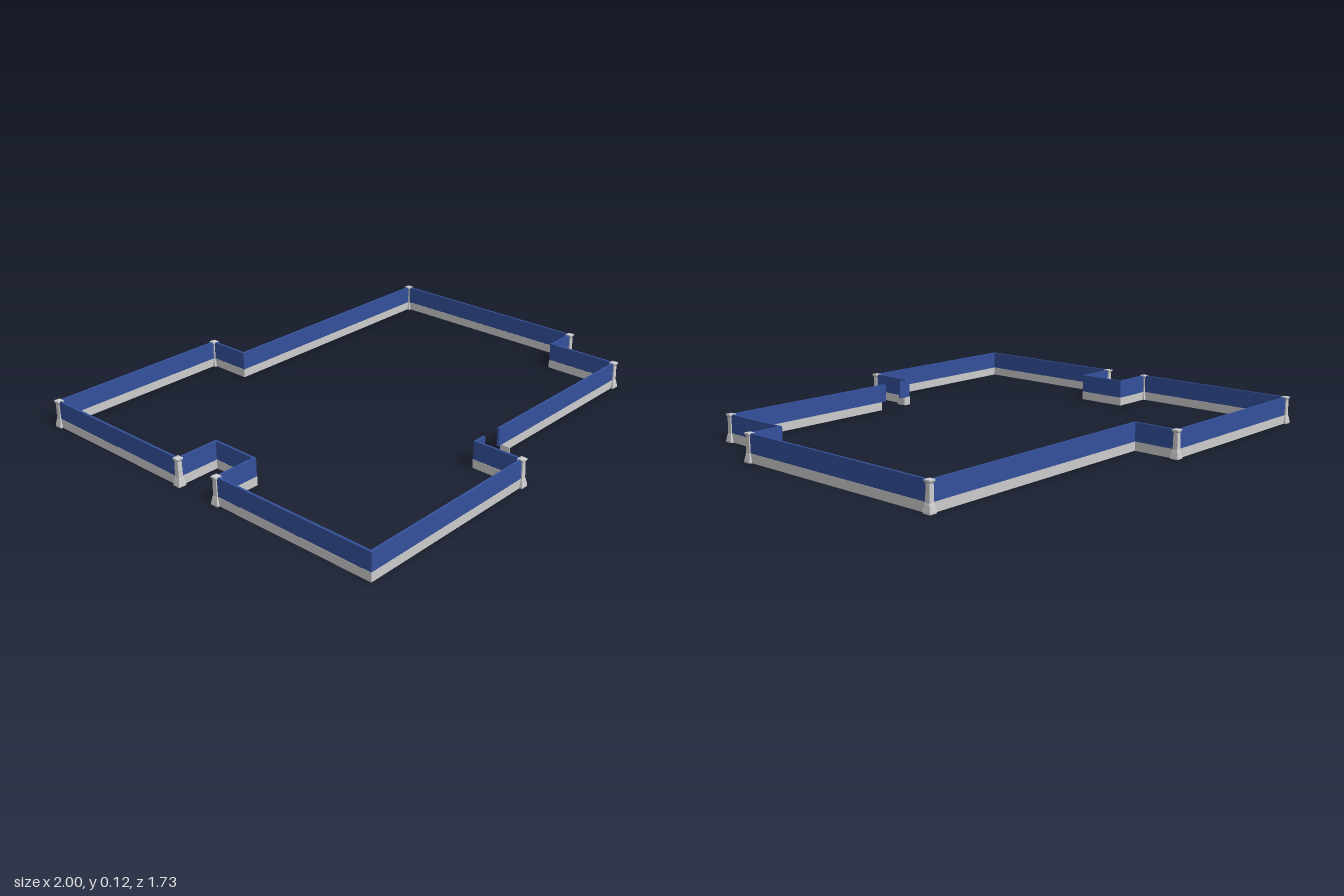
import * as THREE from 'three';

const grey = new THREE.MeshStandardMaterial({ color: 0xcccccc, flatShading: true });
const blue = new THREE.MeshStandardMaterial({ color: 0x34509b, flatShading: true });

// Wall corners as [x, z], running from one side of the gate to the other
const corners = [
  [0.836, 0.629], [0.836, 0.309], [0.982, 0.309], [0.982, -0.653],
  [-0.151, -0.653], [-0.151, -0.848], [-0.982, -0.848], [-0.982, -0.108],
  [-0.796, -0.108], [-0.796, 0.102], [-0.982, 0.102], [-0.982, 0.843],
  [-0.15, 0.843], [-0.15, 0.629],
];
const postCorners = [0, 2, 3, 5, 6, 7, 10, 12];

// Mitred strip of constant thickness along an open path, extruded upwards
function wall(name, path, thickness, y0, y1, material) {
  const pts = path.map(([x, z]) => new THREE.Vector2(x, -z));
  const normals = pts.slice(1).map((p, i) => {
    const d = p.clone().sub(pts[i]).normalize();
    return new THREE.Vector2(-d.y, d.x);
  });
  const side = (offset) => pts.map((p, i) => {
    const a = normals[Math.max(i - 1, 0)];
    const b = normals[Math.min(i, normals.length - 1)];
    const miter = a.clone().add(b).divideScalar(1 + a.dot(b));
    return p.clone().addScaledVector(miter, offset);
  });
  const shape = new THREE.Shape([...side(thickness / 2), ...side(-thickness / 2).reverse()]);
  const geo = new THREE.ExtrudeGeometry(shape, { depth: y1 - y0, bevelEnabled: false });
  geo.rotateX(-Math.PI / 2).translate(0, y0, 0);
  const mesh = new THREE.Mesh(geo, material);
  mesh.name = name;
  return mesh;
}

// Square post: flared foot, slim shaft and a small cap
function makePostGeometry() {
  const profile = [
    [0, 0], [0.017, 0], [0.017, 0.006], [0.0125, 0.03], [0.0105, 0.036],
    [0.0095, 0.104], [0.014, 0.11], [0.014, 0.116], [0, 0.119],
  ].map(([halfWidth, y]) => new THREE.Vector2(halfWidth * Math.SQRT2, y));
  return new THREE.LatheGeometry(profile, 4, Math.PI / 4);
}

export function createModel() {
  const model = new THREE.Group();
  model.name = 'perimeterWall';

  // Low plinth and the taller panels above it, overhanging the gate opening
  model.add(wall('plinth', [[0.02, 0.629], ...corners, [-0.123, 0.629]], 0.012, 0, 0.037, grey));
  model.add(wall('panels', [[-0.006, 0.629], ...corners, [-0.095, 0.629]], 0.01, 0.037, 0.115, blue));

  // Short plinth returns beside the gate
  for (const x of [0.021, -0.123]) {
    const gateReturn = new THREE.Mesh(new THREE.BoxGeometry(0.005, 0.034, 0.042), grey);
    gateReturn.name = 'gateReturn';
    gateReturn.position.set(x, 0.017, 0.648);
    model.add(gateReturn);
  }

  // Corner posts
  const postGeometry = makePostGeometry();
  for (const i of postCorners) {
    const post = new THREE.Mesh(postGeometry, grey);
    post.name = 'post';
    post.position.set(corners[i][0], 0, corners[i][1]);
    model.add(post);
  }
  return model;
}
